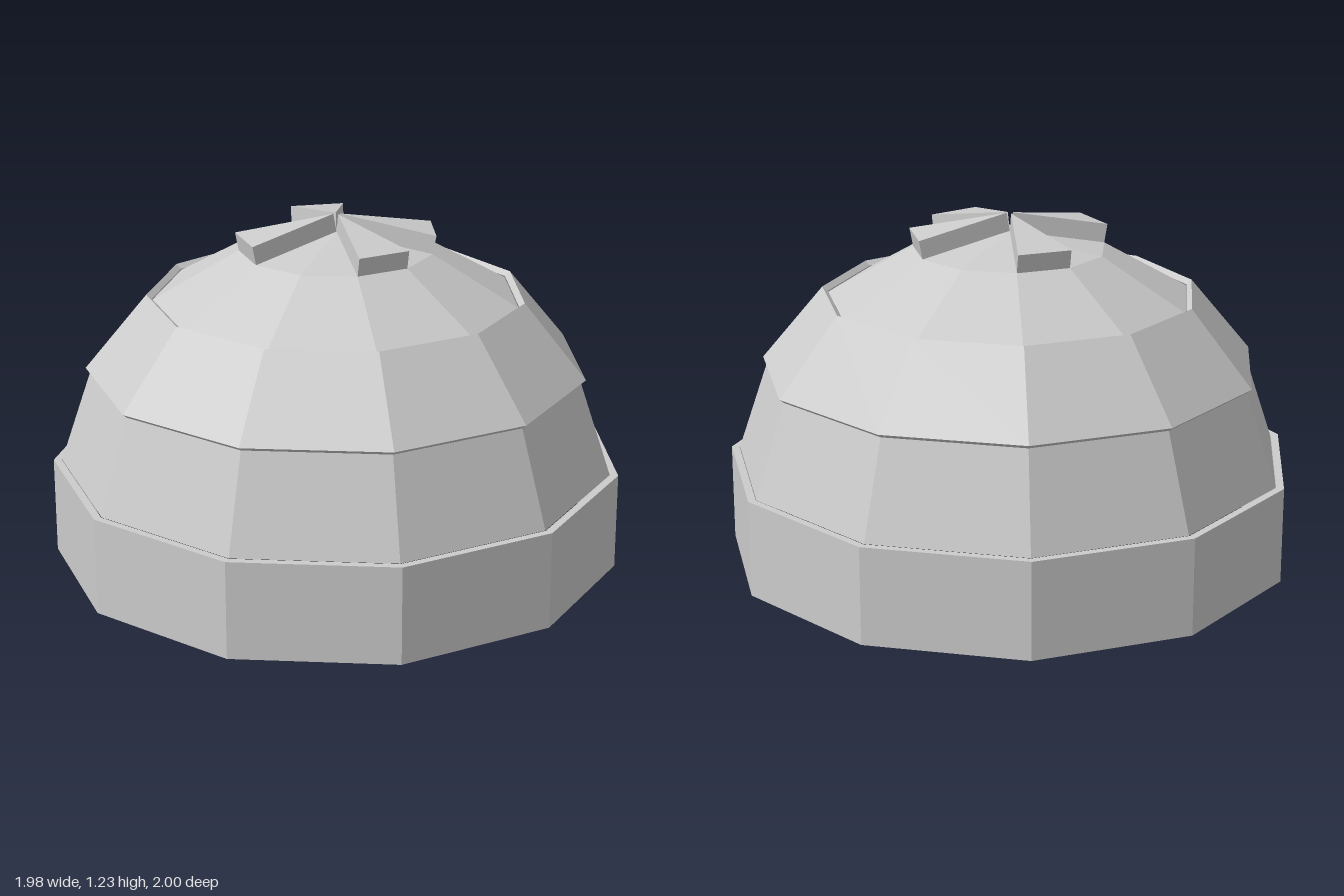
import * as THREE from 'three';

const SIDES = 11;
const STEP = (Math.PI * 2) / SIDES;
const CAP_RADIUS = 0.34, CAP_EDGE_Y = 1.11, APEX_Y = 1.17;

const material = new THREE.MeshStandardMaterial({
  color: 0xcccccc, flatShading: true, side: THREE.DoubleSide,
});

// Eleven-sided surface from a [radius, y] profile, with a corner on +x
function ring(name, profile) {
  const points = profile.map(([r, y]) => new THREE.Vector2(r, y));
  const mesh = new THREE.Mesh(new THREE.LatheGeometry(points, SIDES, Math.PI / 2), material);
  mesh.name = name;
  return mesh;
}

// Sloped wall thickened inwards along its own normal
function shell(name, [r0, y0], [r1, y1], thickness) {
  const length = Math.hypot(r1 - r0, y1 - y0);
  const dr = (-(y1 - y0) / length) * thickness;
  const dy = ((r1 - r0) / length) * thickness;
  return ring(name, [[r0, y0], [r1, y1], [r1 + dr, y1 + dy], [r0 + dr, y0 + dy], [r0, y0]]);
}

// Triangular slab raised from one facet of the cap
function wedge(facet) {
  const corner = (k) => new THREE.Vector3(
    CAP_RADIUS * Math.cos(k * STEP), CAP_EDGE_Y, CAP_RADIUS * Math.sin(k * STEP));
  const base = [new THREE.Vector3(0, APEX_Y, 0), corner(facet + 1), corner(facet)];
  const normal = new THREE.Triangle(...base).getNormal(new THREE.Vector3());
  const top = base.map((p) => p.clone().addScaledVector(normal, 0.066));
  const index = [3, 4, 5, 0, 2, 1];
  for (let i = 0; i < 3; i++) {
    const j = (i + 1) % 3;
    index.push(i, j, j + 3, i, j + 3, i + 3);
  }
  const indexed = new THREE.BufferGeometry().setFromPoints([...base, ...top]);
  indexed.setIndex(index);
  const geometry = indexed.toNonIndexed();
  geometry.computeVertexNormals();
  const mesh = new THREE.Mesh(geometry, material);
  mesh.name = 'topWedge';
  return mesh;
}

export function createModel() {
  const group = new THREE.Group();
  group.name = 'facetedDome';
  const dome = new THREE.Group();
  dome.name = 'dome';

  // Stacked tiers
  dome.add(
    shell('baseBand', [1.01, 0], [1.01, 0.345], 0.028),
    shell('lowerTier', [0.98, 0.345], [0.865, 0.685], 0.025),
    shell('upperTier', [0.884, 0.69], [0.664, 0.955], 0.025),
  );

  // Thin crown closing the dome
  dome.add(ring('cap', [[0.643, 0.936], [CAP_RADIUS, CAP_EDGE_Y], [0, APEX_Y]]));

  // Four raised facets around the peak
  const wedges = new THREE.Group();
  wedges.name = 'topWedges';
  for (const facet of [0, 2, 5, 8]) wedges.add(wedge(facet));
  dome.add(wedges);

  // The odd-sided plan is centred by its bounds
  dome.position.x = -0.02;
  group.add(dome);
  return group;
}
